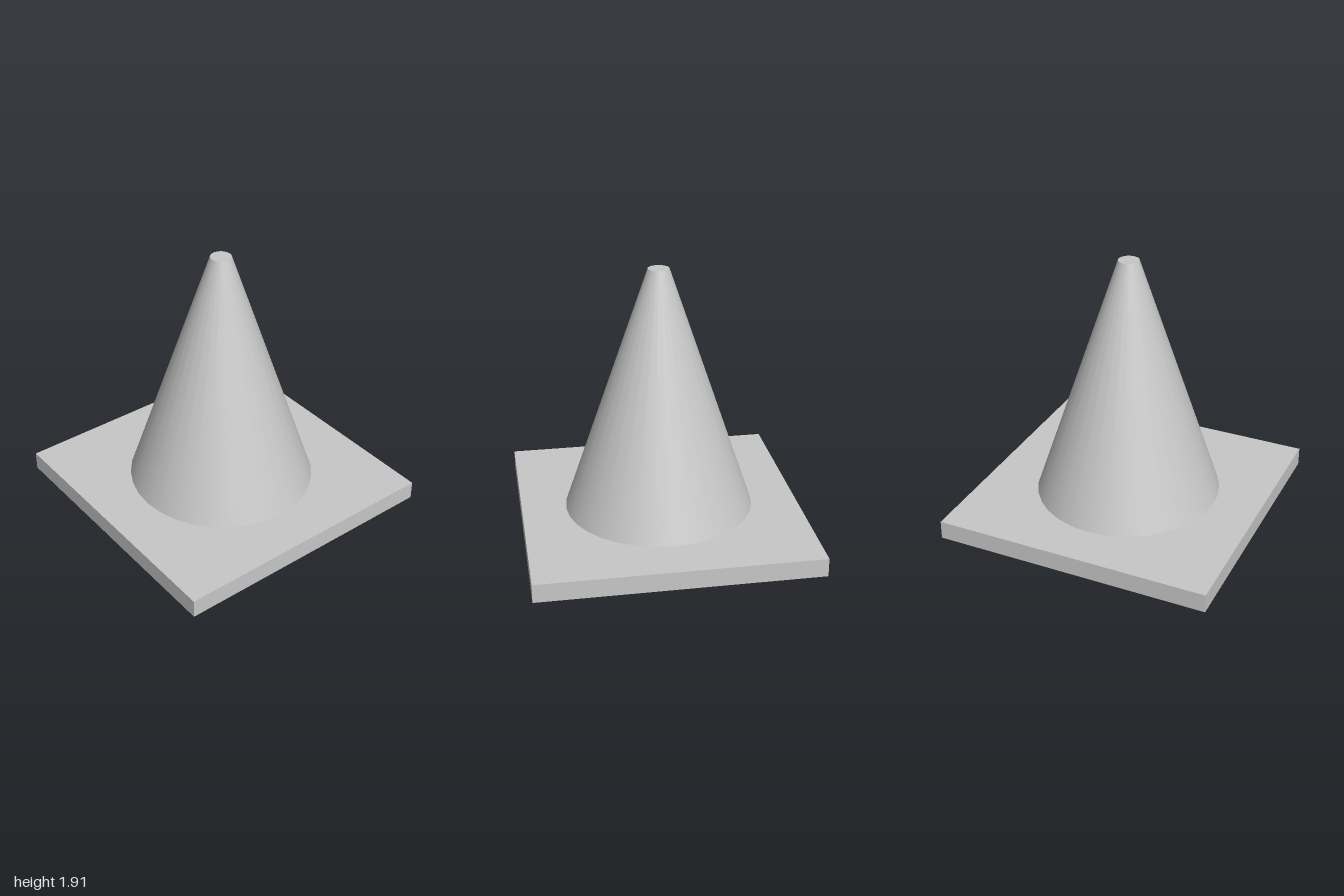
import * as THREE from 'three';

export function createModel() {
  const group = new THREE.Group();
  group.name = 'trafficCone';
  const grey = new THREE.MeshStandardMaterial({ color: 0xc8c8c8 });
  grey.name = 'light grey';

  const baseHeight = 0.135;
  const totalHeight = 1.915;

  // Square foot plate
  const base = new THREE.Mesh(new THREE.BoxGeometry(2, baseHeight, 2), grey);
  base.name = 'base';
  base.position.y = baseHeight / 2;
  group.add(base);

  // Tapered body with a flat tip, slightly narrower front to back
  const coneHeight = totalHeight - baseHeight;
  const coneGeometry = new THREE.CylinderGeometry(0.075, 0.68, coneHeight, 32);
  coneGeometry.scale(1, 1, 0.98);
  const cone = new THREE.Mesh(coneGeometry, grey);
  cone.name = 'cone';
  cone.position.y = baseHeight + coneHeight / 2;
  group.add(cone);

  return group;
}
